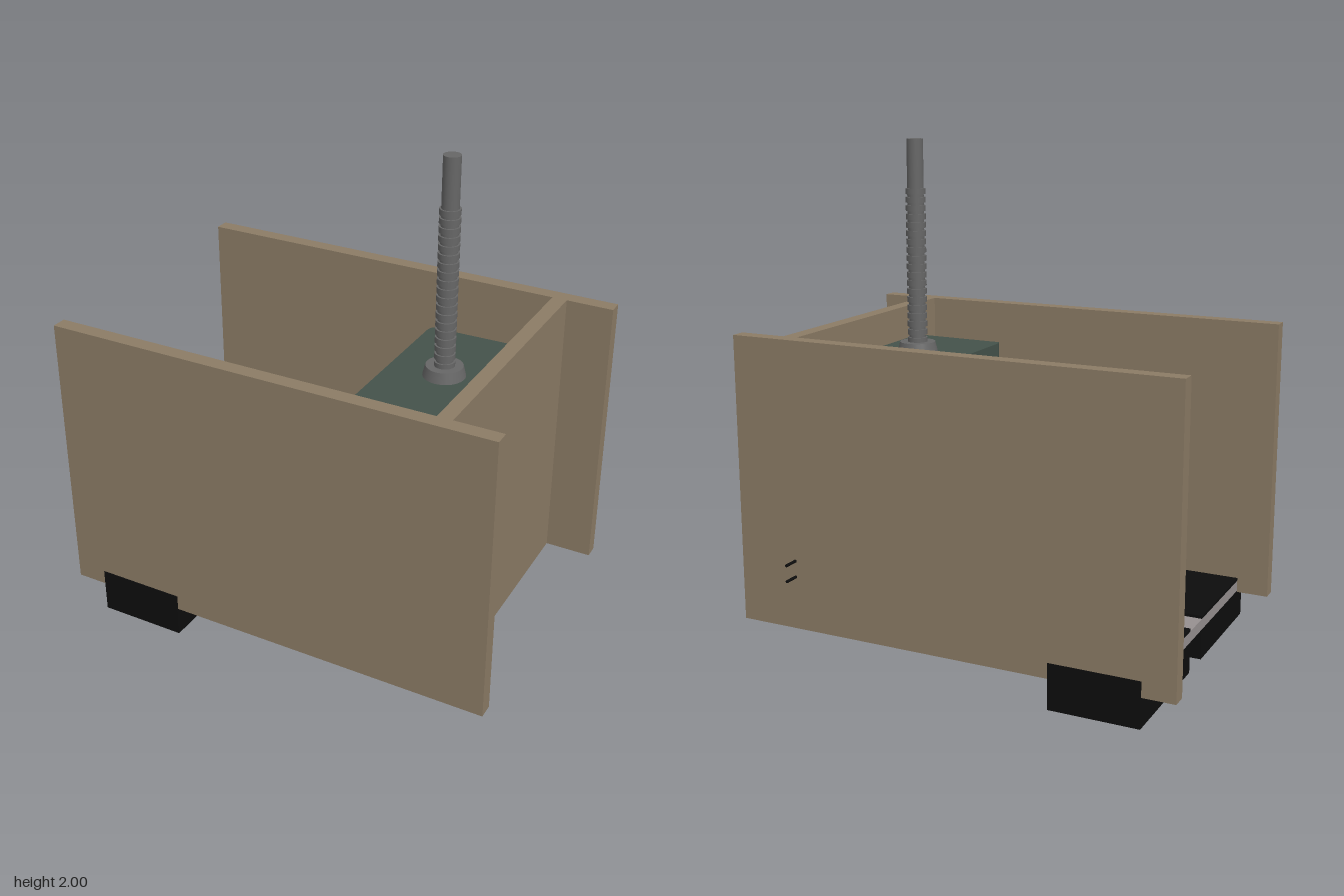
import * as THREE from 'three';

const mat = (color) => new THREE.MeshStandardMaterial({ color });
const M = {
  wall: mat(0x8b7b65), floor: mat(0x969090), black: mat(0x0d0d0d), hood: mat(0x44524a),
  hoodDark: mat(0x303b34), metal: mat(0x666666), darkMetal: mat(0x484848), yellow: mat(0xc8c800),
  bin: mat(0x8fa890), binRim: mat(0x5d7560), white: mat(0xc8c4c4), red: mat(0xc03030),
  glass: mat(0xb4c4c4), brown: mat(0x6a5a30), casing: mat(0x5a4238),
};

export function createModel() {
  const root = new THREE.Group();

  const add = (parent, name, geo, material, x = 0, y = 0, z = 0) => {
    const mesh = new THREE.Mesh(geo, material);
    mesh.name = name;
    mesh.position.set(x, y, z);
    parent.add(mesh);
    return mesh;
  };
  // Box given by its extents
  const box = (parent, name, material, x0, x1, y0, y1, z0, z1) =>
    add(parent, name, new THREE.BoxGeometry(x1 - x0, y1 - y0, z1 - z0), material,
      (x0 + x1) / 2, (y0 + y1) / 2, (z0 + z1) / 2);
  const group = (name) => {
    const g = new THREE.Group();
    g.name = name;
    root.add(g);
    return g;
  };
  // Thin round bar between two points
  const rod = (parent, name, material, a, b, r) => {
    const p = new THREE.Vector3(...a), q = new THREE.Vector3(...b);
    const mesh = add(parent, name, new THREE.CylinderGeometry(r, r, p.distanceTo(q), 8), material);
    mesh.position.copy(p).lerp(q, 0.5);
    mesh.quaternion.setFromUnitVectors(new THREE.Vector3(0, 1, 0), q.sub(p).normalize());
  };

  // Room shell
  const room = group('room');
  box(room, 'frontWall', M.wall, -0.91, 0.91, 0.12, 1.275, 0.57, 0.63);
  box(room, 'backWall', M.wall, -0.91, 0.91, 0.12, 1.275, -0.57, -0.51);
  box(room, 'endWall', M.wall, 0.66, 0.72, 0.12, 1.275, -0.51, 0.57);
  box(room, 'floor', M.floor, -0.78, 0.66, 0.125, 0.17, -0.51, 0.57);
  box(room, 'backBlock', M.black, -0.78, -0.42, 0, 0.182, -0.573, -0.04);
  box(room, 'frontBlock', M.black, -0.78, -0.42, 0, 0.182, 0.1, 0.634);

  // Machine: ribbed body under a slightly flared cover
  const machine = group('machine');
  box(machine, 'machineBody', M.hoodDark, 0.29, 0.63, 0.17, 1.06, -0.25, 0.34);
  for (let i = 0; i < 8; i++) {
    const z = -0.24 + i * 0.075;
    box(machine, 'sideRib', M.hood, 0.265, 0.29, 0.19, 1.06, z, z + 0.04);
  }
  for (let i = 0; i < 5; i++) {
    const x = 0.3 + i * 0.068;
    box(machine, 'endRib', M.hood, x, x + 0.035, 0.19, 1.06, 0.34, 0.36);
    box(machine, 'endRib', M.hood, x, x + 0.035, 0.19, 1.06, -0.27, -0.25);
  }
  const outline = [[0.235, -0.27], [0.245, -0.293], [0.645, -0.303],
    [0.645, 0.392], [0.245, 0.38], [0.235, 0.355]];
  const cover = new THREE.Shape(outline.map(([x, z]) => new THREE.Vector2(x, -z)));
  const coverGeo = new THREE.ExtrudeGeometry(cover, { depth: 0.09, bevelEnabled: false });
  coverGeo.rotateX(-Math.PI / 2);
  add(machine, 'machineCover', coverGeo, M.hood, 0, 1.05, 0);

  // Exhaust stack with corrugated lower length
  const stack = group('exhaustStack');
  stack.position.set(0.455, 0, 0.055);
  add(stack, 'stackFlange', new THREE.CylinderGeometry(0.072, 0.083, 0.045, 24), M.metal, 0, 1.16, 0);
  add(stack, 'stackPipe', new THREE.CylinderGeometry(0.033, 0.033, 0.86, 24), M.metal, 0, 1.57, 0);
  for (let i = 0; i < 19; i++) {
    add(stack, 'stackRing', new THREE.CylinderGeometry(0.04, 0.04, 0.022, 24), M.metal, 0, 1.19 + i * 0.0335, 0);
  }

  // Floor marking around the machine
  const marking = group('floorMarking');
  box(marking, 'markingSide', M.yellow, 0.195, 0.21, 0.17, 0.174, -0.26, 0.345);
  for (const z of [-0.26, 0.333]) box(marking, 'markingEnd', M.yellow, 0.195, 0.66, 0.17, 0.174, z, z + 0.012);

  // Gas bottles
  const profile = [[0, 0], [0.09, 0], [0.09, 0.4], [0.082, 0.45], [0.06, 0.49], [0.042, 0.505],
    [0.038, 0.54], [0, 0.54]].map(([r, y]) => new THREE.Vector2(r, y));
  for (const [x, z] of [[0.4, 0.515], [0.565, 0.505]]) {
    add(root, 'gasBottle', new THREE.LatheGeometry(profile, 24), M.metal, x, 0.17, z);
  }

  // Lockers with door panels and handles
  for (const x of [0.165, 0.405]) {
    const locker = group('locker');
    box(locker, 'lockerBody', M.metal, x, x + 0.228, 0.17, 0.75, -0.51, -0.39);
    box(locker, 'lockerDoor', M.darkMetal, x + 0.01, x + 0.218, 0.19, 0.73, -0.39, -0.383);
    box(locker, 'lockerHandle', M.black, x + 0.185, x + 0.197, 0.42, 0.5, -0.383, -0.376);
  }

  // Waste bin
  const bin = group('wasteBin');
  box(bin, 'binBody', M.bin, -0.16, 0.045, 0.17, 0.45, -0.505, -0.295);
  for (const x of [-0.175, 0.045]) box(bin, 'binRim', M.binRim, x, x + 0.015, 0.43, 0.46, -0.51, -0.285);
  for (const z of [-0.51, -0.298]) box(bin, 'binRim', M.binRim, -0.16, 0.045, 0.43, 0.46, z, z + 0.013);

  // Low guard rail beside the lockers
  const rail = group('guardRail');
  for (const z of [-0.49, -0.293]) {
    rod(rail, 'railPost', M.darkMetal, [0.128, 0.17, z], [0.128, 0.42, z], 0.005);
    add(rail, 'railKnob', new THREE.SphereGeometry(0.011, 12, 8), M.metal, 0.128, 0.42, z);
  }
  rod(rail, 'railBar', M.darkMetal, [0.128, 0.41, -0.49], [0.128, 0.41, -0.293], 0.003);
  rod(rail, 'railBar', M.darkMetal, [0.128, 0.41, -0.293], [0.24, 0.41, -0.293], 0.003);

  // Glass-topped case with a brown backing box
  const caseGroup = group('displayCase');
  box(caseGroup, 'caseBody', M.glass, -0.222, -0.07, 0.17, 0.4, 0.305, 0.428);
  box(caseGroup, 'caseLid', M.white, -0.212, -0.08, 0.4, 0.405, 0.315, 0.42);
  box(caseGroup, 'caseBacking', M.brown, -0.222, -0.083, 0.17, 0.38, 0.428, 0.487);

  // Plain notice plates
  box(root, 'exitPlate', M.wall, -0.415, -0.345, 0.17, 0.178, -0.035, 0.09);
  box(root, 'exitPanel', M.red, -0.395, -0.365, 0.178, 0.18, -0.02, 0.075);
  box(root, 'noticeBorder', M.red, -0.09, 0.005, 0.17, 0.176, 0.138, 0.255);
  box(root, 'noticePanel', M.white, -0.084, -0.001, 0.176, 0.179, 0.144, 0.249);

  // Control box on an arm from a wall post
  const control = group('controlArm');
  rod(control, 'controlPost', M.black, [0.042, 0.08, 0.565], [0.042, 0.92, 0.565], 0.006);
  rod(control, 'controlBar', M.black, [0.042, 0.55, 0.225], [0.042, 0.55, 0.565], 0.006);
  box(control, 'controlBox', M.casing, 0.013, 0.065, 0.51, 0.59, 0.16, 0.228);
  box(control, 'controlButton', M.red, 0.02, 0.045, 0.59, 0.596, 0.175, 0.212);

  // Twin pipes along the end wall, passing through the back wall
  for (const y of [0.335, 0.4]) {
    rod(root, 'wallPipe', M.black, [0.66, y, -0.632], [0.66, y, 0.54], 0.006);
  }
  return root;
}
